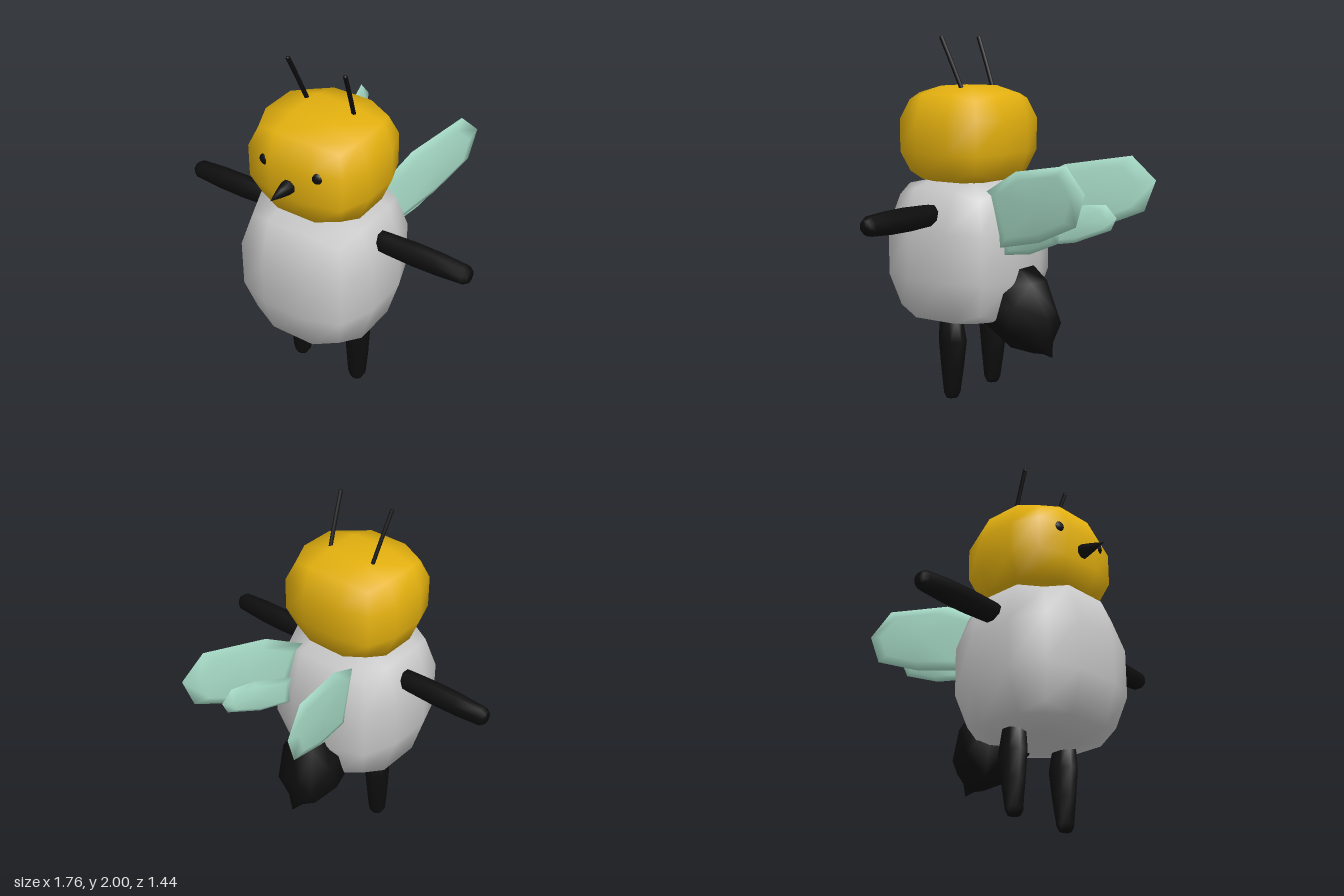
import * as THREE from 'three';
import { mergeVertices } from 'three/addons/utils/BufferGeometryUtils.js';

const paint = (name, color) => {
  const m = new THREE.MeshStandardMaterial({ color });
  m.name = name;
  return m;
};

const V = (x, y, z) => new THREE.Vector3(x, y, z);

// Skin a list of point rings; faces are turned outward by checking the signed volume.
function loft(rings) {
  const n = rings[0].length, pts = rings.flat(), idx = [];
  for (let r = 0; r < rings.length - 1; r++) {
    for (let i = 0; i < n; i++) {
      const a = r * n + i, b = r * n + (i + 1) % n;
      idx.push(a, b, b + n, a, b + n, a + n);
    }
  }
  let volume = 0;
  for (let i = 0; i < idx.length; i += 3) {
    volume += pts[idx[i]].dot(pts[idx[i + 1]].clone().cross(pts[idx[i + 2]]));
  }
  if (volume < 0) idx.reverse();
  let g = new THREE.BufferGeometry().setFromPoints(pts);
  g.setIndex(idx);
  g = mergeVertices(g, 1e-5);
  g.computeVertexNormals();
  return g;
}

// Elliptical ring about a centre, spanned by two half-axes.
function ring(c, u, v, n = 8) {
  return Array.from({ length: n }, (_, i) => {
    const a = (i + 0.5) / n * Math.PI * 2;
    return c.clone().addScaledVector(u, Math.cos(a)).addScaledVector(v, Math.sin(a));
  });
}

// Box of 3 x 3 x 3 segments whose edges and corners are pulled in.
function pillow(w, h, d, edge, edgeY) {
  let g = new THREE.BoxGeometry(2, 2, 2, 3, 3, 3);
  g.deleteAttribute('normal');
  g.deleteAttribute('uv');
  g = mergeVertices(g);
  const p = g.attributes.position;
  for (let i = 0; i < p.count; i++) {
    const c = [p.getX(i), p.getY(i), p.getZ(i)];
    const outer = c.filter(k => Math.abs(k) > 0.9).length;
    const [x, y, z] = c.map((k, axis) => {
      if (Math.abs(k) < 0.9 || outer === 1) return k;
      const e = axis === 1 ? edgeY : edge;
      return k * (outer === 2 ? e : e - 0.12);
    });
    p.setXYZ(i, x * w, y * h, z * d);
  }
  g.computeVertexNormals();
  return g;
}

// Lens-shaped plate from a [z, y] outline, leaning outward towards the back.
function wing(side, outline, x0, lean, thick) {
  const n = outline.length;
  const cz = outline.reduce((s, p) => s + p[0], 0) / n;
  const cy = outline.reduce((s, p) => s + p[1], 0) / n;
  const layers = [[0, 1], [0.75, 1], [1, 0], [0.75, -1], [0, -1]];
  return loft(layers.map(([s, t]) => outline.map(([z, y]) => {
    const pz = cz + (z - cz) * s, py = cy + (y - cy) * s;
    return V(side * (x0 - lean * pz + t * thick), py, pz);
  })));
}

export function createModel() {
  const model = new THREE.Group();
  model.name = 'winged figure';
  const yellow = paint('yellow', 0xe3b00f);
  const grey = paint('light grey', 0xc8c8c8);
  const black = paint('black', 0x0d0d0d);
  const mint = paint('mint', 0xa8dcc8);

  const add = (name, geometry, material, x = 0, y = 0, z = 0) => {
    const m = new THREE.Mesh(geometry, material);
    m.name = name;
    m.position.set(x, y, z);
    model.add(m);
    return m;
  };

  // Body and head
  add('body', pillow(0.39, 0.4, 0.39, 0.82, 0.9), grey, 0, 0.82, 0.26);
  add('head', pillow(0.345, 0.27, 0.313, 0.83, 0.85), yellow, 0, 1.46, 0.257);

  // Pointed nose: [z, radius]
  add('nose', loft([[0.53, 0], [0.53, 0.042], [0.58, 0.04], [0.64, 0.025], [0.72, 0]]
    .map(([z, r]) => ring(V(0, 1.435, z), V(r, 0, 0), V(0, r, 0)))), black);

  // Tail cap ending in a short stinger: [top z, top y, bottom z, bottom y, half width]
  const tail = [
    [0, 0.6, 0, 0.6, 0],
    [-0.12, 0.78, 0.14, 0.42, 0.18],
    [-0.22, 0.69, -0.07, 0.29, 0.19],
    [-0.31, 0.5, -0.21, 0.28, 0.13],
    [-0.285, 0.37, -0.25, 0.28, 0.05],
    [-0.3, 0.265, -0.3, 0.265, 0],
  ];
  add('tail', loft(tail.map(([z1, y1, z2, y2, w]) => ring(
    V(0, (y1 + y2) / 2, (z1 + z2) / 2), V(w, 0, 0),
    V(0, (y1 - y2) / 2, (z1 - z2) / 2)))), black);

  for (const [side, label] of [[1, 'left'], [-1, 'right']]) {
    // Arms: [x, radius]
    const arm = [[0.3, 0], [0.3, 0.055], [0.38, 0.06], [0.55, 0.066], [0.7, 0.064],
      [0.85, 0.054], [0.878, 0.036], [0.878, 0]];
    add(label + 'Arm', loft(arm.map(([x, r]) =>
      ring(V(side * x, 1.047, 0.255), V(0, r, 0), V(0, 0, r)))), black);

    // Legs with a slight bulge behind: [y, half width, front z, back z]
    const leg = [[0.48, 0, 0.25, 0.25], [0.47, 0.06, 0.31, 0.18], [0.33, 0.067, 0.32, 0.15],
      [0.18, 0.062, 0.305, 0.17], [0.03, 0.052, 0.288, 0.195], [0, 0.034, 0.275, 0.21],
      [0, 0, 0.245, 0.245]];
    add(label + 'Leg', loft(leg.map(([y, w, f, b]) =>
      ring(V(side * 0.192, y, (f + b) / 2), V(w, 0, 0), V(0, 0, (f - b) / 2)))), black);

    // Eyes
    const eye = add(label + 'Eye', new THREE.SphereGeometry(0.035, 10, 8), black,
      side * 0.157, 1.53, 0.54);
    eye.scale.z = 0.8;

    // Antennae
    const curve = new THREE.CatmullRomCurve3([
      V(side * 0.14, 1.69, 0.19), V(side * 0.155, 1.84, 0.25), V(side * 0.17, 1.995, 0.316)]);
    add(label + 'Antenna', new THREE.TubeGeometry(curve, 6, 0.012, 6), black);
    add(label + 'AntennaTip', new THREE.SphereGeometry(0.012, 6, 4), black,
      side * 0.17, 1.988, 0.315);

    // Upper and lower wings
    add(label + 'UpperWing', wing(side, [[0.02, 1.17], [-0.22, 1.3], [-0.59, 1.36],
      [-0.72, 1.23], [-0.66, 1.06], [-0.4, 0.95], [-0.09, 0.88]], 0.18, 0.26, 0.022), mint);
    add(label + 'LowerWing', wing(side, [[-0.08, 1.0], [-0.33, 1.08], [-0.47, 1.09],
      [-0.53, 1.02], [-0.5, 0.95], [-0.3, 0.87], [-0.1, 0.84]], 0.152, 0.24, 0.018), mint);
  }
  return model;
}
